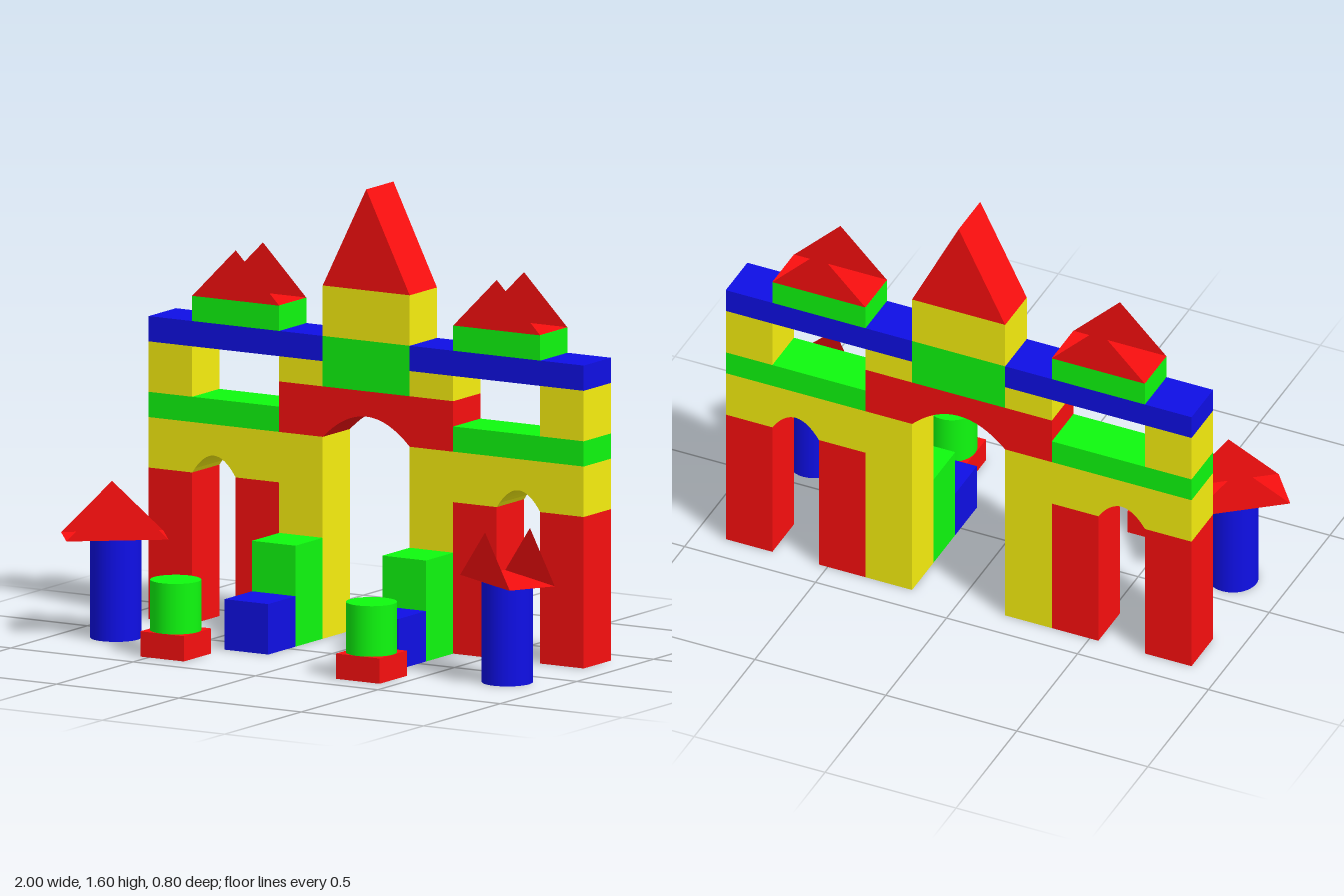
import * as THREE from 'three';

const U = 1.6 / 9; // edge of one toy block
const WALL_Z = -0.4 + U / 2;

const paint = (color) => new THREE.MeshStandardMaterial({ color, side: THREE.DoubleSide });

export function createModel() {
  const model = new THREE.Group();
  const red = paint(0xfa0f0f), green = paint(0x0ffa0f), blue = paint(0x0f0fe6), yellow = paint(0xf8f00f);

  const add = (name, geometry, material, x = 0, y = 0, z = 0, parent = model) => {
    const mesh = new THREE.Mesh(geometry, material);
    mesh.name = name;
    mesh.position.set(x, y, z);
    parent.add(mesh);
    return mesh;
  };

  // Block given by its centre x, bottom y, width and height in block units
  const block = (name, material, x, y, w, h, z = WALL_Z) =>
    add(name, new THREE.BoxGeometry(w * U, h * U, U), material, x * U, (y + h / 2) * U, z);

  const cylinder = (name, material, x, y, z, h) =>
    add(name, new THREE.CylinderGeometry(U / 2, U / 2, h * U, 32), material, x, (y + h / 2) * U, z);

  const extrude = (shape) => {
    const g = new THREE.ExtrudeGeometry(shape, { depth: U, bevelEnabled: false, curveSegments: 16 });
    return g.translate(0, 0, -U / 2);
  };

  // Bridge block with a curved cut-out in its underside
  const arch = (name, material, x, y, w, halfOpening, rise) => {
    const s = new THREE.Shape();
    const hw = (w * U) / 2, o = halfOpening * U;
    s.moveTo(-hw, 0);
    s.lineTo(-o, 0);
    s.quadraticCurveTo(0, 2 * rise, o, 0);
    s.lineTo(hw, 0);
    s.lineTo(hw, U);
    s.lineTo(-hw, U);
    s.closePath();
    add(name, extrude(s), material, x * U, y * U, WALL_Z);
  };

  const triangle = (...p) => new THREE.Shape(p.map(([x, y]) => new THREE.Vector2(x * U, y * U)));

  // Open roof: two upright gables on a flat base, with no slopes
  const openRoof = (name, x, y, z, turn = 0) => {
    const roof = new THREE.Group();
    roof.name = name;
    roof.position.set(x, y, z);
    roof.rotation.y = turn;
    const gable = new THREE.ShapeGeometry(triangle([-1, 0], [1, 0], [0, 1]));
    add('frontGable', gable, red, 0, 0, U / 2, roof);
    add('backGable', gable, red, 0, 0, -U / 2, roof).rotation.y = Math.PI;
    add('roofBase', new THREE.PlaneGeometry(2 * U, U), red, 0, 0.001, 0, roof).rotation.x = -Math.PI / 2;
    model.add(roof);
  };

  for (const s of [1, -1]) {
    const side = s > 0 ? 'left' : 'right';
    // Side gateway
    block(side + 'OuterLeg', red, s * 4.5, 0, 1, 3);
    block(side + 'InnerLeg', red, s * 2.5, 0, 1, 3);
    arch(side + 'SmallArch', yellow, s * 3.5, 3, 3, 0.5, 0.068);
    block(side + 'LowerPlank', green, s * 3.5, 4, 3, 0.5);
    block(side + 'OuterSpacer', yellow, s * 4.5, 4.5, 1, 1);
    block(side + 'InnerSpacer', yellow, s * 1.5, 5, 1, 0.5);
    block(side + 'UpperPlank', blue, s * 3, 5.5, 4, 0.5);
    block(side + 'RoofPlank', green, s * 3, 6, 2, 0.5);
    openRoof(side + 'WallRoof', s * 3 * U, 6.5 * U, WALL_Z);

    // Main gate columns and the stepped blocks before them
    block(side + 'GateColumn', yellow, s * 1.5, 0, 1, 4);
    block(side + 'TallStep', green, s * 1.5, 0, 1, 2, WALL_Z + U);
    block(side + 'LowStep', blue, s * 1.5, 0, 1, 1, WALL_Z + 2 * U);

    // Central tower, made of paired halves
    block(side + 'TowerBlock', green, s * 0.5, 5, 1, 1);
    block(side + 'TowerTopBlock', yellow, s * 0.5, 6, 1, 1);
    const half = s > 0 ? triangle([0, 0], [1, 0], [0, 2]) : triangle([-1, 0], [0, 0], [0, 2]);
    add(side + 'SpireHalf', extrude(half), red, 0, 7 * U, WALL_Z);

    // Free-standing round post with a turned roof
    cylinder(side + 'Post', blue, s * 4.5 * U, 0, 0.134, 2);
    openRoof(side + 'PostRoof', s > 0 ? 0.798 : -0.807, 2 * U, 0.13,
      THREE.MathUtils.degToRad(s > 0 ? -29 : 38));

    // Short drum on a square foot
    const dx = s > 0 ? 2 : -2.5;
    block(side + 'DrumFoot', red, dx, 0, 1, 0.5, 0.4 - U / 2);
    cylinder(side + 'Drum', green, dx * U, 0.5, 0.4 - U / 2, 1);
  }

  arch('mainArch', red, 0, 4, 4, 1, U / 2);
  return model;
}
